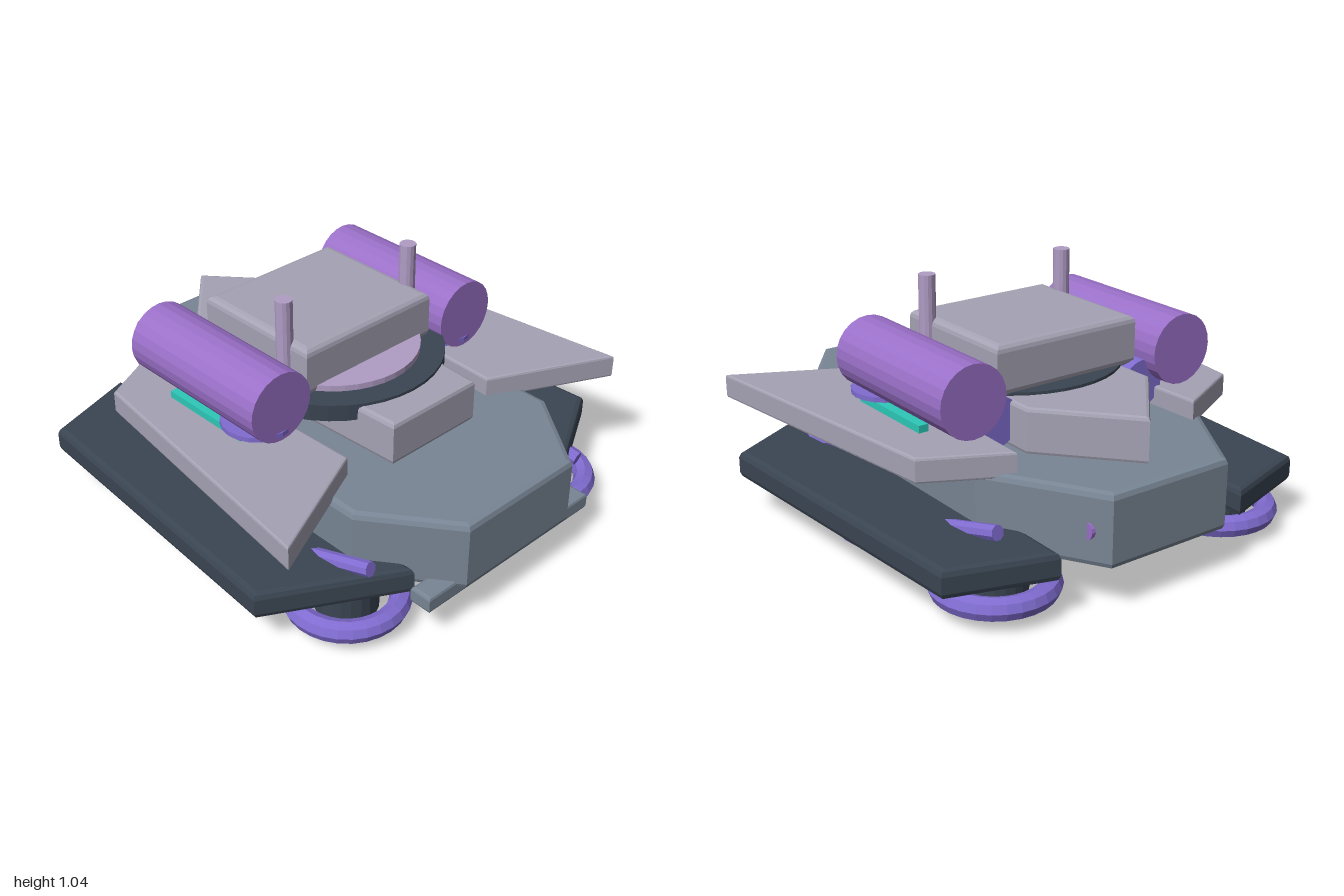
import * as THREE from 'three';

const mat = (name, color, flatShading = true) =>
  Object.assign(new THREE.MeshStandardMaterial({ color, flatShading }), { name });

export function createModel() {
  const hullGrey = mat('hull grey', 0x788594);
  const dark = mat('dark slate', 0x3a4552);
  const plateGrey = mat('plate lavender grey', 0xa5a3b4);
  const purple = mat('blue purple', 0x806cd0);
  const violet = mat('violet', 0x9a70c8);
  const teal = mat('teal', 0x2cc8b8);
  const mauve = mat('mauve', 0xb09cc4);

  const model = new THREE.Group();
  const add = (name, geometry, material, x = 0, y = 0, z = 0) => {
    const mesh = new THREE.Mesh(geometry, material);
    mesh.name = name;
    mesh.position.set(x, y, z);
    model.add(mesh);
    return mesh;
  };

  // Bevelled slab from an outline of [x, z] points between heights y0 and y1
  const slab = (name, points, y0, y1, bevel, material, segments = 2) => {
    const shape = new THREE.Shape(points.map(([x, z]) => new THREE.Vector2(x, z)));
    const g = new THREE.ExtrudeGeometry(shape, {
      depth: y1 - y0 - 2 * bevel, bevelSize: bevel, bevelThickness: bevel,
      bevelOffset: -bevel, bevelSegments: segments,
    });
    g.rotateX(Math.PI / 2).translate(0, y1 - bevel, 0);
    return add(name, g, material);
  };
  const symmetric = (half) => [...half, ...half.map(([x, z]) => [-x, z]).reverse()];
  const mirrored = (points, side) => points.map(([x, z]) => [x * side, z]);

  // Cylinder between two points
  const rod = (name, a, b, r, sides, material) => {
    const p = new THREE.Vector3(...a), q = new THREE.Vector3(...b);
    const mesh = add(name, new THREE.CylinderGeometry(r, r, p.distanceTo(q), sides), material);
    mesh.position.copy(p).add(q).multiplyScalar(0.5);
    mesh.quaternion.setFromUnitVectors(new THREE.Vector3(0, 1, 0), q.sub(p).normalize());
    return mesh;
  };

  // Hull, front bumper and rear cross pin
  slab('hull', symmetric([[0.29, 1], [0.545, 0.66], [0.545, -0.55], [0.275, -1]]), 0.18, 0.475, 0.025, hullGrey);
  slab('frontBumper', symmetric([[0.455, 0.97], [0.455, 0.875]]), 0.145, 0.215, 0.012, hullGrey);
  rod('rearPin', [-0.325, 0.32, -0.91], [0.325, 0.32, -0.91], 0.036, 14, violet);

  // Lift disc under the hull
  add('bellyDisc', new THREE.CylinderGeometry(0.26, 0.26, 0.12, 28), purple, 0, 0.06, -0.015);

  // Deck blocks and turret
  slab('frontDeckBlock', symmetric([[0.225, 0.55], [0.25, 0.1]]), 0.47, 0.655, 0.018, plateGrey);
  slab('rearDeckWedge', [[0, -0.87], [0.3, -0.53], [0.3, -0.05], [-0.3, -0.05], [-0.3, -0.53]], 0.47, 0.655, 0.015, plateGrey);
  add('turretRing', new THREE.CylinderGeometry(0.457, 0.457, 0.07, 40), dark, 0, 0.632, -0.022);
  add('turretCollar', new THREE.CylinderGeometry(0.355, 0.355, 0.04, 40), mauve, 0, 0.672, -0.018);
  slab('turret', symmetric([[0.335, 0.195], [0.335, -0.4]]), 0.655, 0.862, 0.03, plateGrey, 3);

  for (const side of [1, -1]) {
    // Skirts, wheels and hubs
    slab('skirt', mirrored([[0.94, 0.57], [0.42, 0.86], [0.44, -0.92], [0.855, -0.79]], side), 0.155, 0.27, 0.025, dark);
    for (const z of [0.637, -0.015, -0.675]) {
      const ring = new THREE.TorusGeometry(0.205, 0.045, 8, 28).rotateX(Math.PI / 2);
      add('wheelRing', ring, purple, side * 0.55, 0.09, z);
      add('wheelHub', new THREE.CylinderGeometry(0.125, 0.125, 0.11, 20), dark, side * 0.55, 0.105, z);
    }

    // Slanted struts, turned opposite ways on the two sides
    for (const z of [0.555, -0.495]) {
      rod('strut', [side * 0.568, 0.305, z - side * 0.225], [side * 0.638, 0.195, z + side * 0.225], 0.03, 8, purple);
    }

    // Side wings with glowing strips
    slab('wing', mirrored([[0.43, -0.65], [0.757, -0.485], [0.905, 0.72], [0.39, 0.475]], side), 0.455, 0.555, 0.01, plateGrey);
    add('glowStrip', new THREE.BoxGeometry(0.043, 0.155, 0.42), teal, side * 0.595, 0.507, -0.085);

    // Side barrels with their mounts
    rod('barrel', [side * 0.505, 0.712, 0.24], [side * 0.505, 0.712, -0.49], 0.145, 24, violet);
    add('barrelPad', new THREE.CylinderGeometry(0.145, 0.145, 0.02, 20), purple, side * 0.505, 0.595, 0.1);
    add('barrelMount', new THREE.BoxGeometry(0.1, 0.045, 0.2), dark, side * 0.43, 0.578, -0.1);
    rod('mountDrum', [side * 0.355, 0.58, -0.08], [side * 0.355, 0.58, -0.43], 0.1, 20, purple);

    // Roof posts
    add('post', new THREE.CylinderGeometry(0.034, 0.034, 0.375, 14), mauve, side * 0.333, 0.848, 0.068);
  }
  return model;
}
